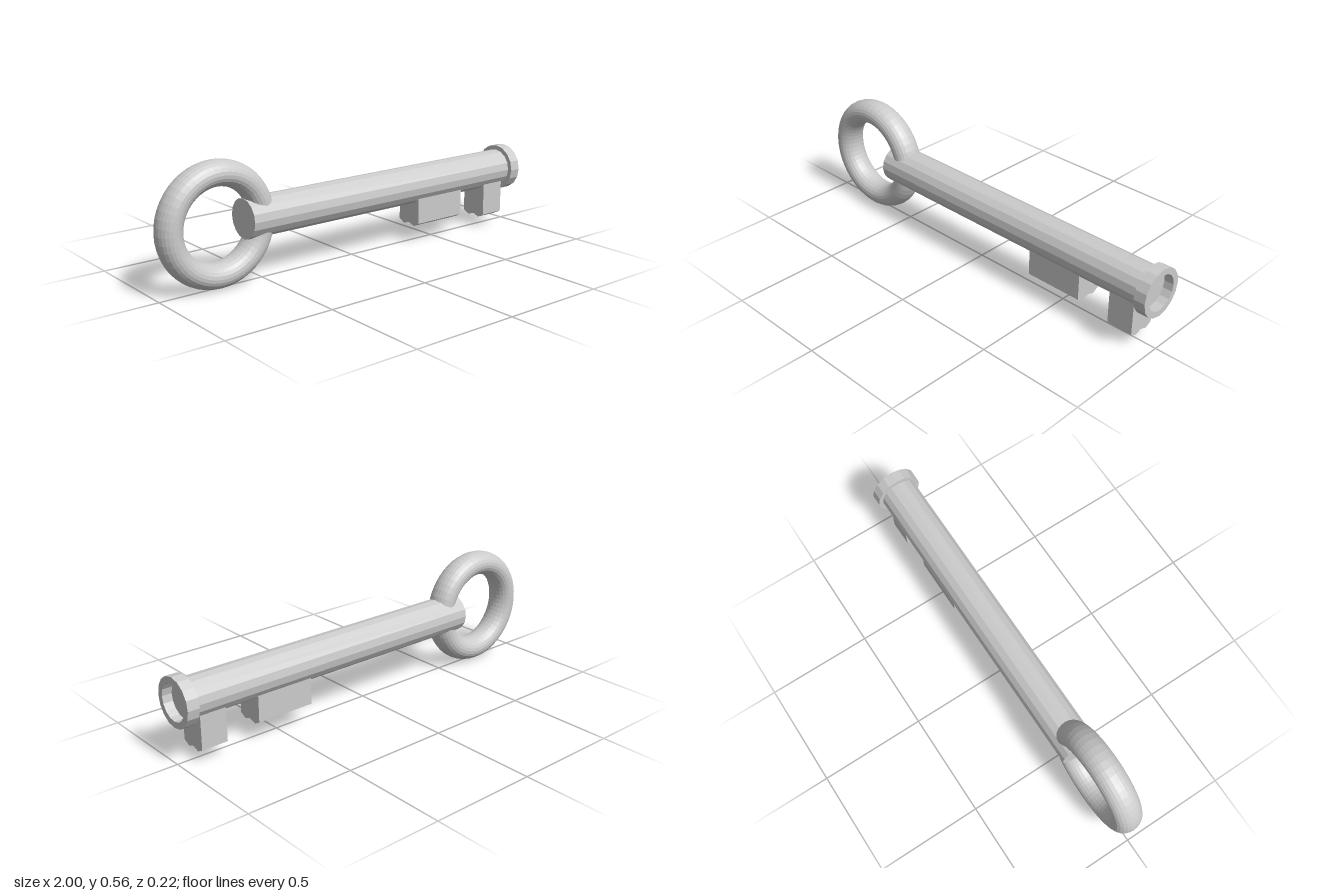
import * as THREE from 'three';

const AXIS_Y = 0.28;

export function createModel() {
  const model = new THREE.Group();
  model.name = 'key';
  const material = new THREE.MeshStandardMaterial({ color: 0xcccccc, flatShading: true });

  const add = (name, geometry, x, y) => {
    const mesh = new THREE.Mesh(geometry, material);
    mesh.name = name;
    mesh.position.set(x, y, 0);
    model.add(mesh);
    return mesh;
  };

  // Ring handle, its tube slightly deeper than it is wide
  const ring = new THREE.TorusGeometry(0.221, 0.057, 24, 48);
  ring.scale(1, 1, 0.067 / 0.057);
  add('ringHandle', ring, -0.722, AXIS_Y);

  // Sixteen-sided shaft
  const shaftStart = -0.586, shaftEnd = 0.955;
  const shaft = new THREE.CylinderGeometry(0.09, 0.09, shaftEnd - shaftStart, 16);
  shaft.rotateZ(-Math.PI / 2);
  add('shaft', shaft, (shaftStart + shaftEnd) / 2, AXIS_Y);

  // Hollow collar around the tip, revolved from a closed rectangle
  const collarProfile = [[0.083, 0], [0.112, 0], [0.112, 0.055], [0.083, 0.055], [0.083, 0]]
    .map(([r, h]) => new THREE.Vector2(r, h));
  const collar = new THREE.LatheGeometry(collarProfile, 16);
  collar.rotateZ(-Math.PI / 2);
  add('tipCollar', collar, 0.945, AXIS_Y);

  // Bits: blocks with a W-shaped lower edge, extruded along the shaft
  const addBit = (name, x0, x1, bottom) => {
    const shape = new THREE.Shape([
      [-0.067, AXIS_Y], [-0.067, bottom + 0.017], [-0.035, bottom], [0, bottom + 0.012],
      [0.035, bottom], [0.067, bottom + 0.017], [0.067, AXIS_Y],
    ].map(([z, y]) => new THREE.Vector2(z, y)));
    const geometry = new THREE.ExtrudeGeometry(shape, { depth: x1 - x0, bevelEnabled: false });
    geometry.rotateY(Math.PI / 2);
    add(name, geometry, x0, 0);
  };
  addBit('longBit', 0.355, 0.635, 0.081);
  addBit('shortBit', 0.796, 0.92, 0.048);

  return model;
}
